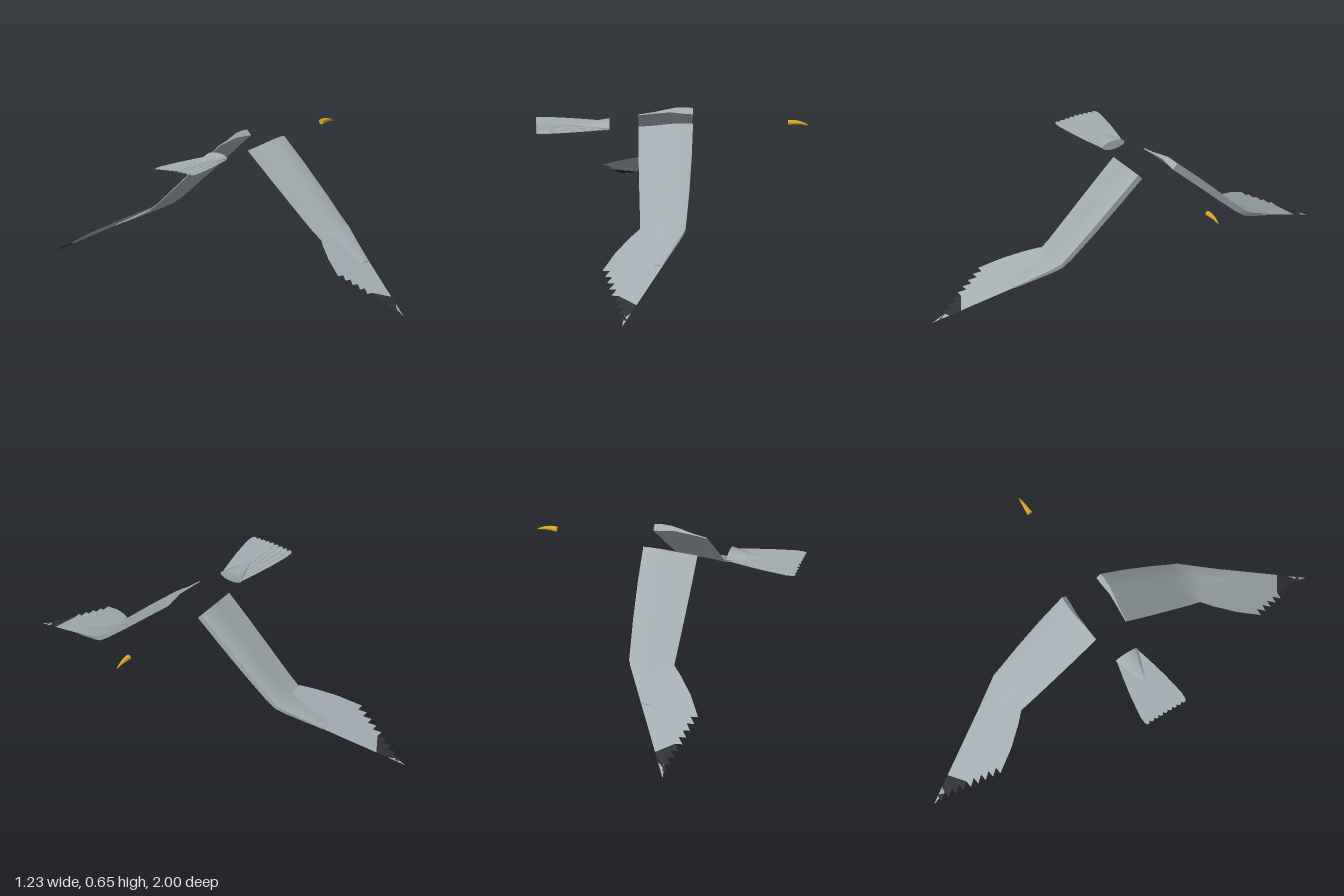
import * as THREE from 'three';
import { toCreasedNormals } from 'three/addons/utils/BufferGeometryUtils.js';

const mat = (name, color, side = THREE.FrontSide) => {
  const m = new THREE.MeshStandardMaterial({ color, side });
  m.name = name;
  return m;
};

// Closed solid through a list of rings, each an array of [x, y, z]
function loft(rings, crease = 0.7) {
  const n = rings[0].length, pos = rings.flat(2), index = [];
  rings.slice(1).forEach((_, r) => {
    for (let i = 0; i < n; i++) {
      const a = r * n + i, b = r * n + (i + 1) % n;
      index.push(a, b, a + n, b, b + n, a + n);
    }
  });
  [0, rings.length - 1].forEach((r) => {
    const c = pos.length / 3;
    for (let k = 0; k < 3; k++) pos.push(rings[r].reduce((s, p) => s + p[k], 0) / n);
    for (let i = 0; i < n; i++) {
      const a = r * n + i, b = r * n + (i + 1) % n;
      if (r === 0) index.push(c, b, a); else index.push(c, a, b);
    }
  });
  // Turn the faces outward if the enclosed volume is negative
  const p = (i) => new THREE.Vector3().fromArray(pos, i * 3);
  let volume = 0;
  for (let i = 0; i < index.length; i += 3) volume += p(index[i]).dot(p(index[i + 1]).cross(p(index[i + 2])));
  if (volume < 0) index.reverse();
  const g = new THREE.BufferGeometry();
  g.setAttribute('position', new THREE.Float32BufferAttribute(pos, 3));
  g.setIndex(index);
  return toCreasedNormals(g, crease);
}

const ellipseRing = (x, y, hy, hz, n = 16) => Array.from({ length: n }, (_, i) => {
  const a = i / n * Math.PI * 2;
  return [x, y + hy * Math.sin(a), hz * Math.cos(a)];
});

// Wing section: chord position from trailing (0) to leading (1), height
const AIRFOIL = [[0, 0.002], [0.3, 0.014], [0.5, 0.026], [0.68, 0.035], [0.9, 0.037], [1, 0.033],
  [1, 0.002], [0.8, 0.006], [0.6, 0.012], [0.3, 0.006], [0, -0.002]];
// Span stations: z, y, leading x, trailing x, thickness, lean of the section
const STATIONS = [
  [0.08, 0.628, 0.092, -0.155, 1, 0.76],
  [0.2, 0.518, 0.086, -0.154, 1, 0.76],
  [0.33, 0.398, 0.075, -0.151, 0.92, 0.76],
  [0.43, 0.307, 0.063, -0.148, 0.8, 0.72],
  [0.48, 0.268, 0.057, -0.147, 0.7, 0.62],
  [0.53, 0.24, 0.031, -0.155, 0.55, 0.52],
  [0.67, 0.172, -0.048, -0.15, 0.25, 0.49],
];

const handY = (z) => 0.28 - 0.533 * (z - 0.48);
const leadX = (z) => 0.052 - 0.282 * (z - 0.5) / 0.5;
const tip = (i) => [-0.318 + 0.088 * i / 9, 0.7 + 0.3 * i / 9];
const notch = (i) => [tip(i)[0] + 0.034, tip(i)[1] + 0.002];
const teeth = (from, to) => {
  const out = [];
  for (let i = from; i <= to; i++) out.push(tip(i), notch(i));
  return out;
};

// Flat panel in the sloping plane of the outer wing
function handPanel(points, side) {
  const g = new THREE.ShapeGeometry(new THREE.Shape(points.map((p) => new THREE.Vector2(...p))));
  const pos = g.attributes.position;
  for (let i = 0; i < pos.count; i++) {
    const z = pos.getY(i);
    pos.setXYZ(i, pos.getX(i), handY(z), z * side);
  }
  if (side > 0) g.index.array.reverse();
  g.computeVertexNormals();
  return g;
}

export function createModel() {
  const model = new THREE.Group();
  model.name = 'bird';
  const grey = mat('feather grey', 0xa3adb1);
  const greyThin = mat('thin feather grey', 0xa3adb1, THREE.DoubleSide);
  const black = mat('wing tip black', 0x303132, THREE.DoubleSide);
  const gold = mat('beak gold', 0xd9a521);
  const add = (parent, name, geometry, material) => {
    const m = new THREE.Mesh(geometry, material);
    m.name = name;
    parent.add(m);
  };

  // Wings: thick arm, then a flat hand with notched feathers
  for (const side of [1, -1]) {
    const wing = new THREE.Group();
    wing.name = side > 0 ? 'frontWing' : 'backWing';
    const rings = STATIONS.map(([z, y, lead, trail, thick, lean]) => AIRFOIL.map(([u, h]) => [
      trail + (lead - trail) * u,
      y + h * thick * Math.cos(lean),
      side * (z + h * thick * Math.sin(lean)),
    ]));
    add(wing, 'wingArm', loft(rings), grey);
    add(wing, 'wingHand', handPanel([[0.052, 0.5], [-0.147, 0.475], [-0.195, 0.525], [-0.26, 0.605],
      ...teeth(0, 4), [leadX(0.885), 0.885]], side), greyThin);
    add(wing, 'darkFeathers', handPanel([[leadX(0.885), 0.885], notch(4), ...teeth(5, 8),
      [-0.222, 0.937], [leadX(0.93), 0.93]], side), black);
    add(wing, 'paleTip', handPanel([[leadX(0.93), 0.93], [-0.222, 0.937], notch(8), tip(9)], side), greyThin);
    model.add(wing);
  }

  // Tail: tapering root and a fan of overlapping feathers
  const tail = new THREE.Group();
  tail.name = 'tail';
  add(tail, 'tailRoot', loft([[-0.285, 0.611, 0.022, 0.058], [-0.33, 0.611, 0.016, 0.044],
    [-0.38, 0.61, 0.011, 0.026], [-0.44, 0.609, 0.006, 0.008]].map((r) => ellipseRing(...r))), grey);
  for (let i = -4; i <= 4; i++) {
    const k = i / 4;
    const edge = (s) => [[-0.29, 0.044, 0.011], [-0.37, 0.061, 0.013], [-0.46, 0.079, 0.014],
      [-0.57, 0.094, 0.016], [-0.605, 0.096, 0.013], [-0.617, 0.096, 0.005]]
      .map(([x, z, w]) => new THREE.Vector2(x, z * k + s * w));
    const g = new THREE.ExtrudeGeometry(new THREE.Shape([...edge(1), ...edge(-1).reverse()]),
      { depth: 0.003, bevelEnabled: false });
    g.rotateX(Math.PI / 2);
    g.translate(0, 0.6135 - Math.abs(i) * 0.0013, 0);
    add(tail, 'tailFeather', g, grey);
  }
  model.add(tail);

  // Beak with a down-curved tip
  add(model, 'beak', loft([[0.52, 0.62, 0.012, 0.013], [0.55, 0.621, 0.011, 0.01], [0.575, 0.619, 0.008, 0.007],
    [0.597, 0.613, 0.005, 0.004], [0.612, 0.607, 0.001, 0.001]].map((r) => ellipseRing(...r))), gold);
  return model;
}
